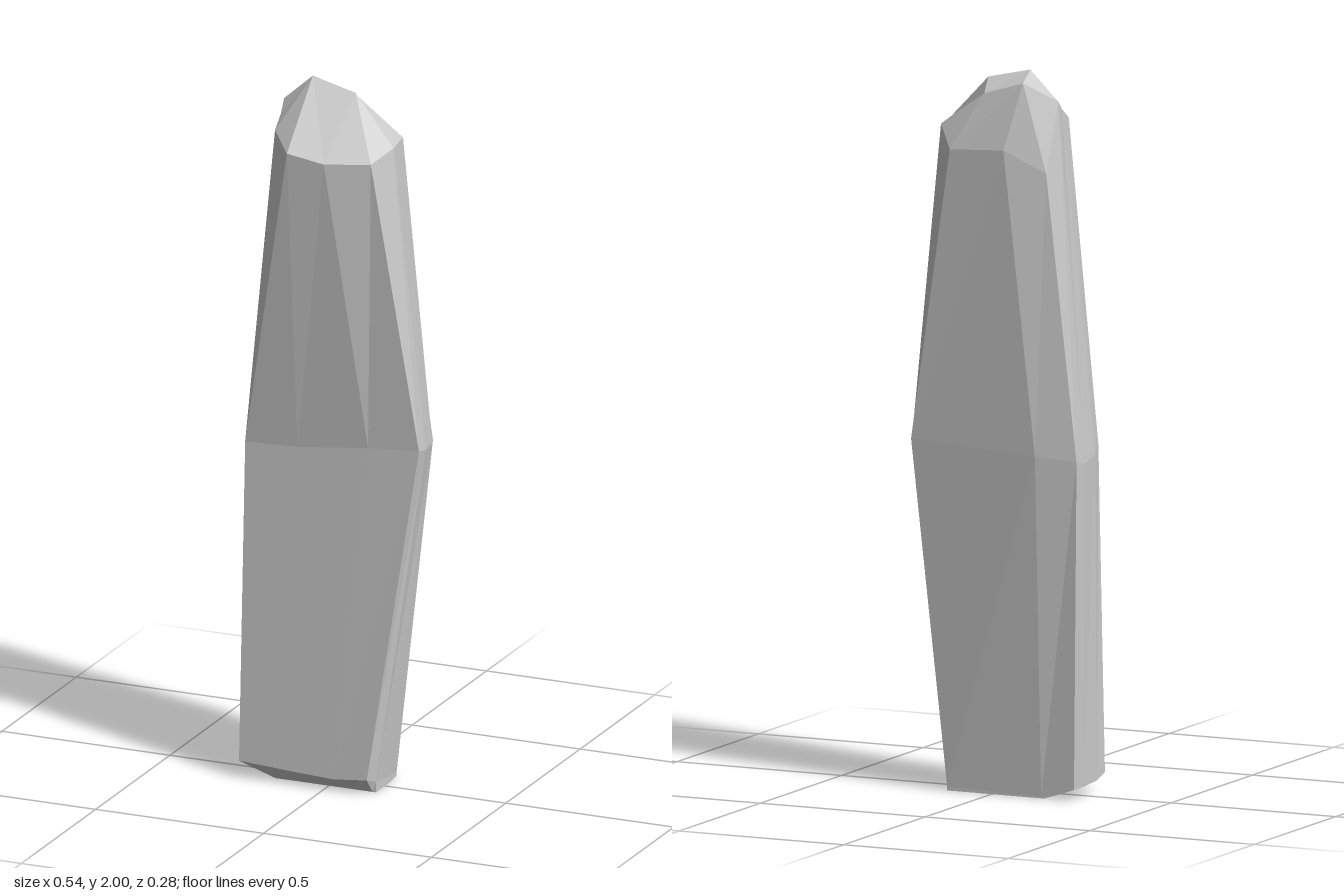
import * as THREE from 'three';

// Horizontal outlines of the stone, each running front, left side, back, right side
const foot = [
  [-0.25, 0.05, 0.1], [-0.08, 0.04, 0.1], [0.03, 0.035, 0.1], [0.13, 0.045, 0.1],
  [0.14, 0.03, 0.06], [0.14, 0.02, -0.03], [0.135, 0.01, -0.09], [-0.15, 0.005, -0.09],
  [-0.25, 0.03, -0.09], [-0.25, 0.03, -0.03], [-0.25, 0.035, 0.05],
];
const waist = [
  [-0.245, 0.96, 0.07], [-0.09, 0.965, 0.07], [0.12, 0.99, 0.068], [0.27, 1, 0.065],
  [0.27, 0.99, 0.02], [0.25, 0.98, -0.07], [0.23, 0.97, -0.12], [-0.155, 0.95, -0.138],
  [-0.27, 0.94, -0.115], [-0.27, 0.93, -0.065], [-0.26, 0.94, 0.02],
];
const shoulder = [
  [-0.165, 1.86, 0.05], [-0.09, 1.83, 0.14], [0.015, 1.81, 0.13], [0.14, 1.815, 0.095],
  [0.175, 1.845, 0.02], [0.155, 1.84, -0.088], [0.105, 1.78, -0.135], [-0.06, 1.79, -0.14],
  [-0.175, 1.73, -0.11], [-0.18, 1.92, -0.045], [-0.17, 1.89, 0],
];

// Underside: the foot outline chamfered inwards on the front and right
const base = foot.map(([x, , z]) => [Math.max(x, -0.16), 0, Math.min(z, 0.06)]);

// Crown: four corners shared by the shoulder points
const peak = [-0.09, 2, -0.035];
const leftTip = [0.04, 1.97, -0.03];
const leftBack = [0.02, 1.935, -0.095];
const rightBack = [-0.1, 1.972, -0.1];
const crown = [
  peak, peak, peak, leftTip, leftTip, leftBack, leftBack,
  rightBack, rightBack, rightBack, peak,
];

function loftStone(rings) {
  const positions = [];
  const tri = (a, b, c) => {
    if (a !== b && b !== c && a !== c) positions.push(...a, ...b, ...c);
  };
  // Walls between neighbouring outlines
  for (let r = 0; r < rings.length - 1; r++) {
    const low = rings[r], high = rings[r + 1];
    for (let i = 0; i < low.length; i++) {
      const j = (i + 1) % low.length;
      tri(low[i], low[j], high[j]);
      tri(low[i], high[j], high[i]);
    }
  }
  // Flat underside and crown facet
  const bottom = rings[0], top = rings[rings.length - 1];
  for (let i = 1; i < bottom.length - 1; i++) {
    tri(bottom[0], bottom[i + 1], bottom[i]);
    tri(top[0], top[i], top[i + 1]);
  }
  const geometry = new THREE.BufferGeometry();
  geometry.setAttribute('position', new THREE.Float32BufferAttribute(positions, 3));
  geometry.computeVertexNormals();
  return geometry;
}

export function createModel() {
  const group = new THREE.Group();
  group.name = 'standingStone';
  const material = new THREE.MeshStandardMaterial({ color: 0xcccccc, flatShading: true });
  const stone = new THREE.Mesh(loftStone([base, foot, waist, shoulder, crown]), material);
  stone.name = 'stone';
  group.add(stone);
  return group;
}
